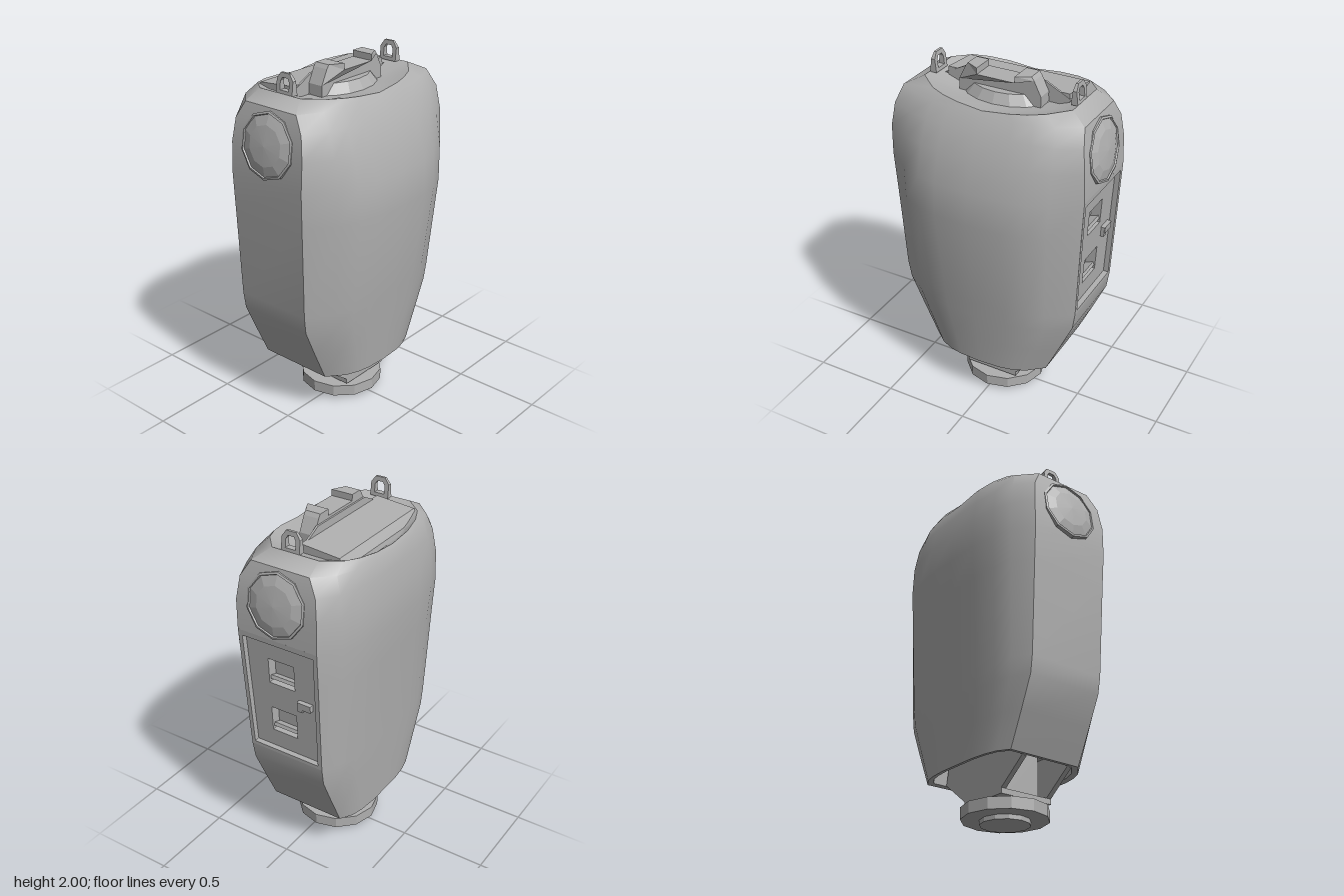
import * as THREE from 'three';
import { toCreasedNormals } from 'three/addons/utils/BufferGeometryUtils.js';

const grey = new THREE.MeshStandardMaterial({ color: 0xb0b0b0 });
grey.name = 'plain grey';
const CX = -0.03; // axis of the round parts

function add(parent, name, geometry, x = 0, y = 0, z = 0) {
  const mesh = new THREE.Mesh(geometry, grey);
  mesh.name = name;
  mesh.position.set(x, y, z);
  parent.add(mesh);
  return mesh;
}

function outline(points, Type = THREE.Shape) {
  return new Type(points.map(([x, y]) => new THREE.Vector2(x, y)));
}

function extrude(points, depth, holes = []) {
  const shape = outline(points);
  shape.holes = holes.map((h) => outline(h, THREE.Path));
  return new THREE.ExtrudeGeometry(shape, { depth, bevelEnabled: false });
}

// Extrude a (z, y) profile along x, starting at x0
function extrudeX(points, x0, width) {
  return extrude(points.map(([z, y]) => [-z, y]), width).rotateY(Math.PI / 2).translate(x0, 0, 0);
}

const rect = (x, y, w, h) => [[x - w / 2, y - h / 2], [x + w / 2, y - h / 2], [x + w / 2, y + h / 2], [x - w / 2, y + h / 2]];

// Horizontal sections: y, x right end, x left end, z half, end face from/to x, sag at the sides
const SECTIONS = [
  [0.36, -0.31, 0.25, 0.33, -0.25, 0.14, 0],
  [0.27, -0.325, 0.265, 0.335, -0.26, 0.145, 0],
  [0.265, -0.35, 0.295, 0.365, -0.28, 0.165, 0],
  [0.45, -0.36, 0.315, 0.45, -0.28, 0.17, 0],
  [0.62, -0.37, 0.335, 0.525, -0.28, 0.175, 0],
  [0.72, -0.375, 0.345, 0.54, -0.28, 0.18, 0],
  [1.26, -0.405, 0.413, 0.567, -0.28, 0.2, 0],
  [1.45, -0.418, 0.398, 0.577, -0.28, 0.208, 0],
  [1.62, -0.412, 0.352, 0.572, -0.277, 0.213, 0],
  [1.75, -0.39, 0.3, 0.555, -0.26, 0.195, 0],
  [1.84, -0.37, 0.25, 0.53, -0.21, 0.14, 0.01],
  [1.888, -0.355, 0.235, 0.435, -0.2, 0.08, 0.04],
  [1.84, -0.33, 0.14, 0.3, -0.2, 0.03, 0],
];
const LEFT = [[0, 1], [0.35, 0.95], [0.55, 0.83], [0.75, 0.6], [1, 0]];
const RIGHT = [[1, 0], [0.82, 0.6], [0.62, 0.85], [0.35, 1], [0, 1]];

function ring([y, xr, xl, zh, f0, f1, sag]) {
  const half = [
    ...LEFT.map(([u, k]) => [f1 + (xl - f1) * k, u]),
    ...RIGHT.map(([u, k]) => [f0 + (xr - f0) * k, u]),
  ];
  const back = half.slice(1, -1).reverse().map(([x, u]) => [x, -u]);
  return [...half, ...back].map(([x, u]) => [x, y - sag * (1 - Math.abs(u)), u * zh]);
}

// Body shell, closed below and above by shallow recesses
function bodyGeometry() {
  const rings = SECTIONS.map(ring);
  const n = rings[0].length;
  const positions = [];
  const tri = (...p) => p.forEach((v) => positions.push(...v));
  const last = rings.length - 1;
  for (let i = 0; i < n; i++) {
    const j = (i + 1) % n;
    for (let r = 0; r < last; r++) {
      if (i === 13 && (r === 5 || r === 6)) continue; // opening for the back panel
      tri(rings[r][i], rings[r + 1][i], rings[r][j]);
      tri(rings[r][j], rings[r + 1][i], rings[r + 1][j]);
    }
    tri([CX, 0.36, 0], rings[0][i], rings[0][j]);
    tri([-0.08, 1.84, 0], rings[last][j], rings[last][i]);
  }
  const g = new THREE.BufferGeometry();
  g.setAttribute('position', new THREE.Float32BufferAttribute(positions, 3));
  return toCreasedNormals(g, 0.6);
}

// Ten-sided round cover with a shallow dome, tilted to the shell
function roundCover(side) {
  const g = new THREE.Group();
  g.name = side > 0 ? 'frontRoundCover' : 'backRoundCover';
  const profile = [[0.18, -0.06], [0.18, 0.004], [0.168, 0.008], [0.164, 0], [0.11, 0.016], [0, 0.026]];
  const lathe = new THREE.LatheGeometry(profile.map(([r, y]) => new THREE.Vector2(r, y)), 10);
  add(g, 'coverDisc', toCreasedNormals(lathe.rotateX(Math.PI / 2), 0.15));
  g.rotation.order = 'YXZ';
  g.rotation.set(-0.15, side > 0 ? 0 : Math.PI, 0);
  g.position.set(CX, 1.65, side * 0.568);
  return g;
}

// Recessed service panel with two square wells and a latch
function backPanel() {
  const g = new THREE.Group();
  g.name = 'backPanel';
  const outer = [[-0.28, 0], [0.18, 0], [0.208, 0.732], [-0.28, 0.732]];
  const inner = [[-0.255, 0.02], [0.158, 0.02], [0.183, 0.7], [-0.255, 0.7]];
  add(g, 'panelFrame', extrude(outer, 0.06, [inner]));
  const wells = [rect(-0.03, 0.2, 0.16, 0.15), rect(-0.03, 0.51, 0.16, 0.15)];
  add(g, 'panelPlate', extrude(outer, 0.06, wells), 0, 0, 0.03);
  add(g, 'wellFloor', new THREE.BoxGeometry(0.3, 0.6, 0.01), -0.03, 0.36, 0.092);
  for (const y of [0.15, 0.46]) {
    const lip = add(g, 'wellLip', new THREE.BoxGeometry(0.15, 0.02, 0.05), -0.03, y, 0.06);
    lip.rotation.x = 0.4;
  }
  add(g, 'latch', new THREE.BoxGeometry(0.08, 0.04, 0.03), -0.18, 0.37, 0.02);
  add(g, 'latchKnob', new THREE.BoxGeometry(0.03, 0.06, 0.02), -0.15, 0.36, 0.018);
  g.position.set(0, 0.72, -0.54);
  g.rotation.x = -0.0506;
  return g;
}

// Lid strip, handle and lifting eyes
function topParts() {
  const g = new THREE.Group();
  g.name = 'topParts';
  const lid = [[-0.31, 1.82], [-0.04, 1.82], [-0.04, 1.908], [-0.27, 1.888]];
  add(g, 'lid', extrude(lid, 0.72), 0, 0, -0.36);
  add(g, 'lidFin', extrudeX([[-0.38, 1.87], [0.38, 1.87], [0.22, 1.95], [-0.22, 1.95]], -0.05, 0.012));

  const base = new THREE.CylinderGeometry(0.2, 0.25, 0.06, 8, 1, false, 0, Math.PI);
  base.scale(0.68, 1, 1);
  add(g, 'handleBase', base.toNonIndexed(), -0.04, 1.865, 0).geometry.computeVertexNormals();
  const side = [[0.24, 1.83], [0.24, 1.9], [0.2, 1.98], [0.185, 2], [0.11, 2], [0.11, 1.965]];
  const handle = [...side, ...side.map(([z, y]) => [-z, y]).reverse()];
  const geo = extrudeX(handle, -0.04, 0.13);
  // Narrow the handle towards its ends
  const p = geo.attributes.position;
  for (let i = 0; i < p.count; i++) {
    if (p.getX(i) > 0 && Math.abs(p.getZ(i)) > 0.15) p.setX(i, 0.05);
  }
  geo.computeVertexNormals();
  add(g, 'handle', geo);

  const eye = [[-0.055, 0], [0.055, 0], [0.055, 0.075], [0.03, 0.11], [-0.03, 0.11], [-0.055, 0.075]];
  const hole = [[-0.03, 0.02], [0.03, 0.02], [0.03, 0.065], [0.018, 0.085], [-0.018, 0.085], [-0.03, 0.065]];
  for (const s of [1, -1]) {
    const eyeGeo = extrude(eye, 0.04, [hole]).translate(0, 0, -0.02);
    const q = eyeGeo.attributes.position;
    for (let i = 0; i < q.count; i++) q.setZ(i, q.getZ(i) * (1 - 6 * q.getY(i)));
    eyeGeo.computeVertexNormals();
    add(g, 'liftingEye', eyeGeo, CX, 1.885, s * 0.415);
  }
  return g;
}

// Neck with slanted fins and a round foot
function foot() {
  const g = new THREE.Group();
  g.name = 'foot';
  add(g, 'neckBox', new THREE.BoxGeometry(0.22, 0.26, 0.28), CX, 0.24, 0);
  add(g, 'neckPlate', new THREE.BoxGeometry(0.33, 0.03, 0.32), -0.015, 0.125, 0);
  const fin = [[-0.16, 0.11], [0.16, 0.11], [0.16, 0.14], [0.33, 0.27], [0.31, 0.37], [-0.31, 0.37], [-0.33, 0.27], [-0.16, 0.14]];
  for (const x of [-0.18, 0.12]) add(g, 'neckFin', extrudeX(fin, x, 0.03));
  const disc = (name, r, y0, y1) => {
    const geo = new THREE.CylinderGeometry(r, r, y1 - y0, 12).toNonIndexed();
    geo.computeVertexNormals();
    add(g, name, geo, CX, (y0 + y1) / 2, 0);
  };
  disc('footCore', 0.137, 0, 0.115);
  disc('footFlange', 0.238, 0.025, 0.09);
  return g;
}

export function createModel() {
  const model = new THREE.Group();
  model.name = 'canister';
  add(model, 'body', bodyGeometry());
  model.add(roundCover(1), roundCover(-1), backPanel(), topParts(), foot());
  return model;
}
